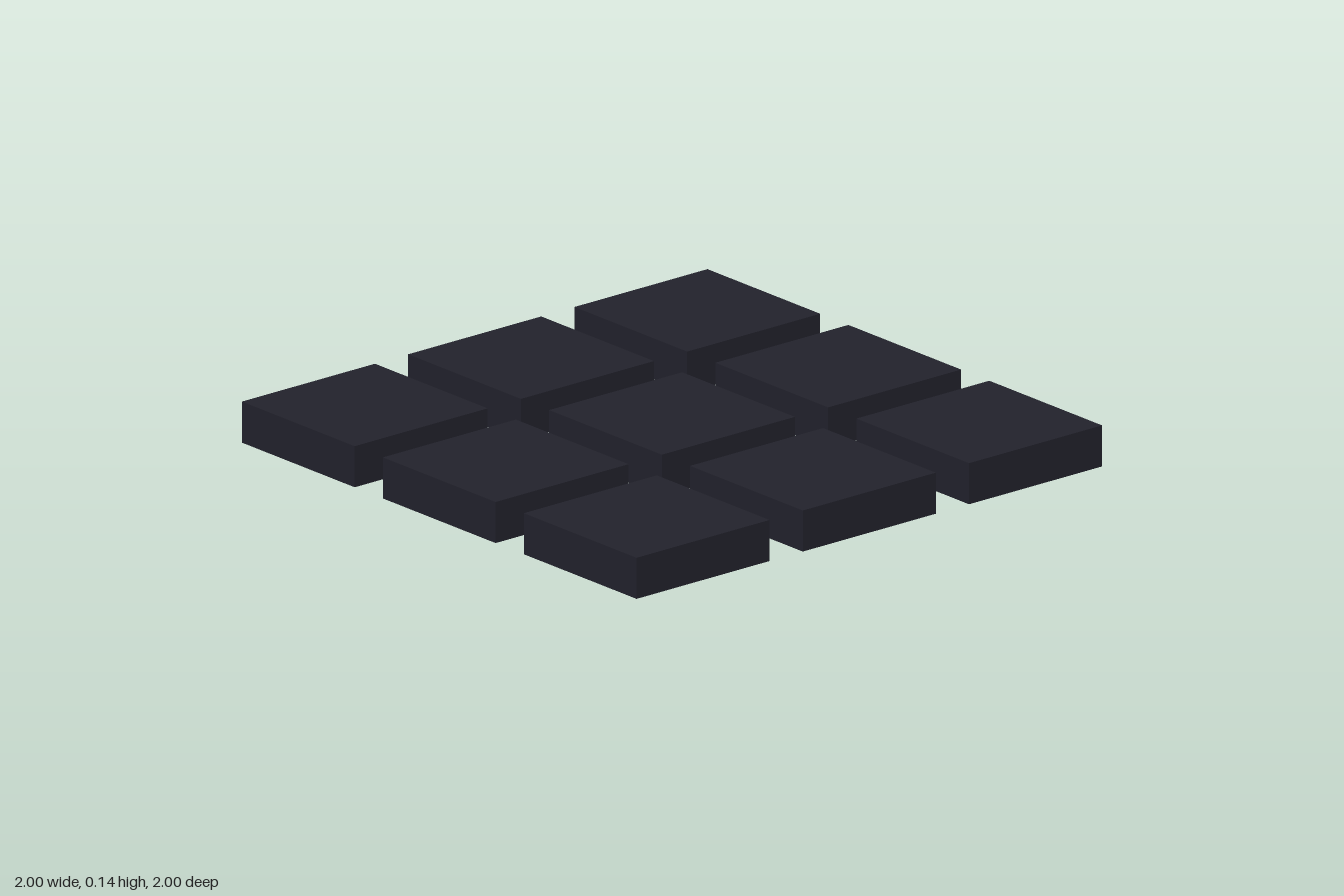
import * as THREE from 'three';

const TILE = 4 / 7;     // tile width and depth
const HEIGHT = 1 / 7;   // tile thickness
const PITCH = 5 / 7;    // distance between tile centres

export function createModel() {
  const group = new THREE.Group();
  group.name = 'tileGrid';

  const darkSlate = new THREE.MeshStandardMaterial({ color: 0x22222c });
  darkSlate.name = 'darkSlate';

  const geometry = new THREE.BoxGeometry(TILE, HEIGHT, TILE);
  const rows = ['back', 'middle', 'front'];
  const columns = ['Right', 'Centre', 'Left'];

  // Three by three grid of separate square tiles
  rows.forEach((row, r) => {
    columns.forEach((column, c) => {
      const tile = new THREE.Mesh(geometry, darkSlate);
      tile.name = `${row}${column}Tile`;
      tile.position.set((c - 1) * PITCH, HEIGHT / 2, (r - 1) * PITCH);
      group.add(tile);
    });
  });

  return group;
}
